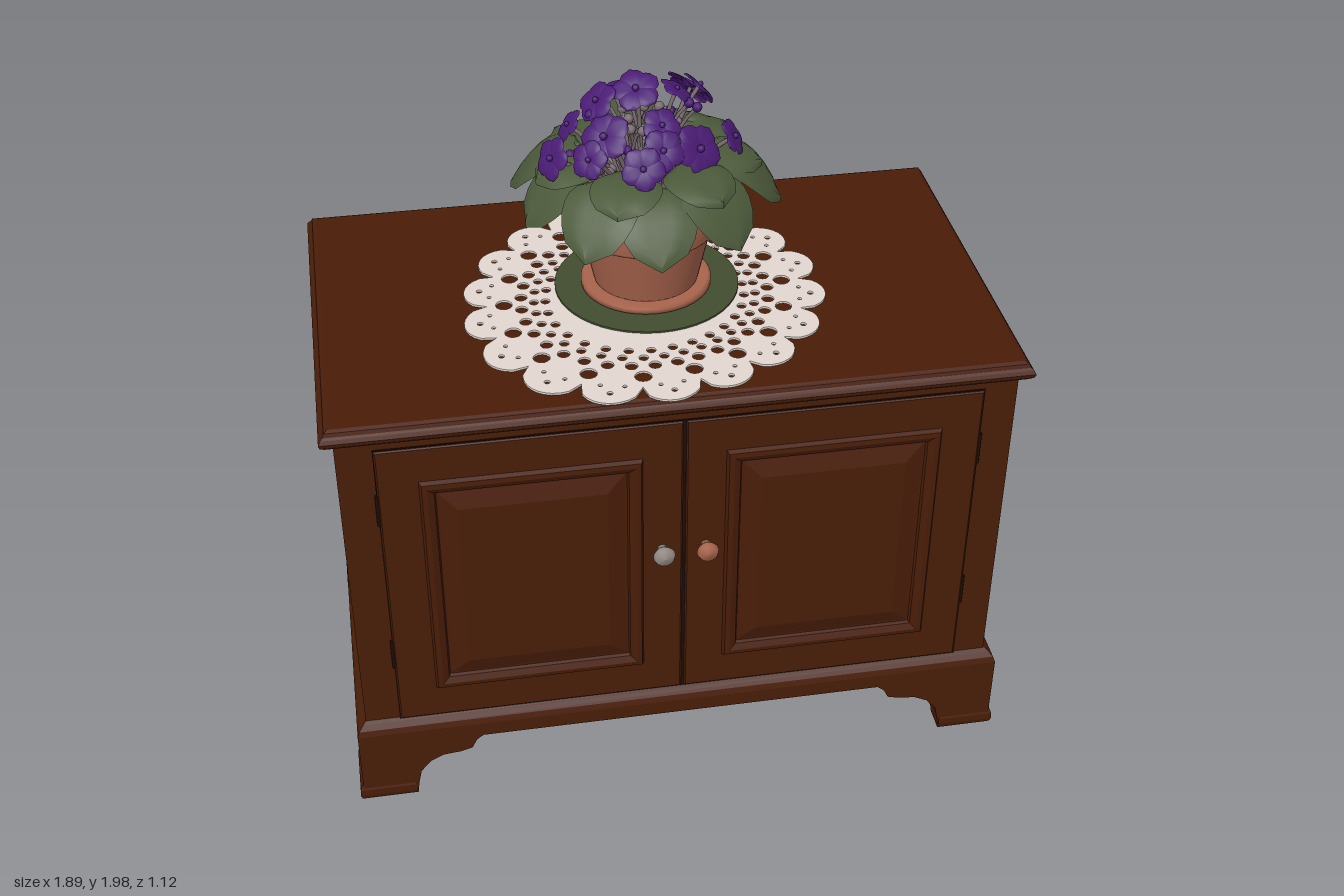
import * as THREE from 'three';

const mat = (name, color, side = THREE.FrontSide) => {
  const m = new THREE.MeshStandardMaterial({ color, side });
  m.name = name;
  return m;
};
const wood = mat('brown wood', 0x491d08);
const dark = mat('dark gap', 0x1e0c05);
const clay = mat('terracotta', 0xa8634c, THREE.DoubleSide);
const green = mat('leaf green', 0x4c5a3b, THREE.DoubleSide);
const purple = mat('petal purple', 0x4a1b74, THREE.DoubleSide);
const lace = mat('cream lace', 0xe2d7d0);
const stemMat = mat('mauve stem', 0x7a6c72);
const silver = mat('grey knob', 0x958a84);
const matGreen = mat('mat green', 0x414d2f);

const UP = new THREE.Vector3(0, 1, 0);
const V = (x, y, z) => new THREE.Vector3(x, y, z);

function add(parent, name, geometry, material, x = 0, y = 0, z = 0) {
  const m = new THREE.Mesh(geometry, material);
  m.name = name;
  m.position.set(x, y, z);
  parent.add(m);
  return m;
}

// Stacked rectangles: each level is [height, inset from the w x d outline]
function rectLoft(w, d, levels) {
  const loops = levels.map(([y, i]) => {
    const a = w / 2 - i, b = d / 2 - i;
    return [V(-a, y, b), V(a, y, b), V(a, y, -b), V(-a, y, -b)];
  });
  const pts = [];
  const quad = (a, b, c, e) => pts.push(a, b, c, a, c, e);
  for (let k = 0; k < loops.length - 1; k++) {
    const lo = loops[k], hi = loops[k + 1];
    for (let j = 0; j < 4; j++) quad(lo[j], lo[(j + 1) % 4], hi[(j + 1) % 4], hi[j]);
  }
  const [p, q] = [loops[0], loops[loops.length - 1]];
  quad(q[0], q[1], q[2], q[3]);
  quad(p[3], p[2], p[1], p[0]);
  const g = new THREE.BufferGeometry().setFromPoints(pts);
  g.computeVertexNormals();
  return g;
}

// Plinth board with a bracket foot cut at each end; reach = end to start of the flat arch
function bracketBoard(width, reach) {
  const w = width / 2, k = reach / 0.36;
  const cut = [[0.155, 0], [0.16, 0.04], [0.17, 0.085], [0.2, 0.12], [0.24, 0.14], [0.29, 0.145],
    [0.325, 0.155], [0.34, 0.185], [0.36, 0.2]].map(([x, y]) => [x < 0.165 ? x : x * k + 0.16 * (1 - k), y]);
  const s = new THREE.Shape();
  s.moveTo(-w, 0);
  cut.forEach(([x, y]) => s.lineTo(-w + x, y));
  [...cut].reverse().forEach(([x, y]) => s.lineTo(w - x, y));
  s.lineTo(w, 0).lineTo(w, 0.245).lineTo(-w, 0.245);
  return new THREE.ExtrudeGeometry(s, { depth: 0.07, bevelEnabled: false });
}

// Oval blade running along +z, arched downward and cupped
function blade(length, width, lift, droop, cup) {
  const g = new THREE.PlaneGeometry(1, 1, 6, 8);
  const p = g.attributes.position;
  for (let i = 0; i < p.count; i++) {
    const v = p.getX(i) * 2, u = p.getY(i) + 0.5;
    const half = width / 2 * Math.sqrt(Math.max(0, 1 - (2 * u - 1) ** 2));
    p.setXYZ(i, v * half, length * (lift * u - droop * u * u) + cup * (Math.abs(v) - v * v * 1.6), length * u);
  }
  g.computeVertexNormals();
  return g;
}

const stalk = (a, b, c, r) => new THREE.TubeGeometry(new THREE.QuadraticBezierCurve3(a, b, c), 8, r, 5);

function createCabinet() {
  const g = new THREE.Group();
  g.name = 'cabinet';
  add(g, 'carcass', new THREE.BoxGeometry(1.81, 1.06, 1.03), wood, -0.003, 0.76, -0.015);
  const top = add(g, 'tableTop', rectLoft(1.87, 1.1, [[1.27, 0.035], [1.28, 0.015], [1.292, 0.003], [1.303, 0],
    [1.313, 0.006], [1.318, 0.012], [1.328, 0.016], [1.333, 0.026]]), wood, -0.007, 0, 0.01);
  top.rotation.x = -0.005;
  add(g, 'baseMoulding', rectLoft(1.87, 1.08, [[0.21, 0.01], [0.245, 0], [0.262, 0.006], [0.275, 0.018], [0.285, 0.03]]),
    wood, 0, 0, -0.0125);

  // Bracket plinth on all four sides
  for (const s of [-1, 1]) {
    const frontBoard = add(g, 'plinthBoard', bracketBoard(1.87, 0.35), wood, 0, 0, -0.0125 + s * 0.47);
    const sideBoard = add(g, 'plinthSide', bracketBoard(1.08, 0.29), wood, s * 0.865, 0, -0.0125);
    frontBoard.rotation.y = s > 0 ? 0 : Math.PI;
    sideBoard.rotation.y = s * Math.PI / 2;
    for (const t of [-1, 1]) {
      add(g, 'footToe', rectLoft(0.165, 0.165, [[0, 0.004], [0.015, 0], [0.035, 0.001], [0.06, 0.012]]),
        wood, s * 0.863, 0, -0.0125 + t * 0.461);
    }
  }

  // Doors with a moulded frame and a raised centre panel
  add(g, 'doorGap', new THREE.BoxGeometry(1.624, 0.956, 0.006), dark, 0, 0.758, 0.5);
  for (const s of [-1, 1]) {
    const door = add(g, 'door', rectLoft(0.805, 0.95, [[0, 0], [0.01, 0], [0.013, 0.004], [0.013, 0.108], [0.025, 0.114],
      [0.027, 0.128], [0.018, 0.146], [0.009, 0.15], [0.009, 0.155], [0.025, 0.205]]), wood, s * 0.407, 0.758, 0.495);
    door.rotation.x = Math.PI / 2;
    const knob = add(g, 'knob', new THREE.LatheGeometry([[0, 0], [0.014, 0], [0.011, 0.02], [0.026, 0.026], [0.031, 0.036],
      [0.025, 0.048], [0, 0.054]].map(([x, y]) => new THREE.Vector2(x, y)), 16), s < 0 ? silver : clay, s * 0.06, 0.81, 0.506);
    knob.rotation.x = Math.PI / 2;
    for (const y of [0.53, 1.04]) {
      add(g, 'hinge', new THREE.CylinderGeometry(0.005, 0.005, 0.1, 8), dark, s * 0.812, y, 0.503);
    }
  }
  return g;
}

function createDoily() {
  const g = new THREE.Group();
  g.name = 'doily';
  // The cloth is pulled out slightly toward its front right corner
  const at = (a, r) => {
    const k = r * (1 + 0.09 * Math.max(0, Math.cos(a + 2.3)) ** 4);
    return new THREE.Vector2(k * Math.cos(a), k * Math.sin(a));
  };
  const n = 18, ring = [];
  for (let i = 0; i < n * 10; i++) {
    const a = i / (n * 10) * Math.PI * 2;
    ring.push(at(a, 0.43 + 0.067 * Math.sqrt(Math.abs(Math.sin(a * n / 2)))));
  }
  const shape = new THREE.Shape(ring);
  // Rings of lace holes: [count, ring radius, hole radius, phase in steps]
  for (const [count, r, h, phase] of [[n, 0.384, 0.023, 0], [n, 0.455, 0.008, 0.5], [n, 0.425, 0.006, 0.3], [n, 0.425, 0.006, 0.7],
    [36, 0.338, 0.017, 0.5], [36, 0.303, 0.013, 0], [30, 0.272, 0.013, 0]]) {
    for (let i = 0; i < count; i++) {
      const a = (i + phase) / count * Math.PI * 2, c = at(a, r);
      shape.holes.push(new THREE.Path().absarc(c.x, c.y, h, 0, Math.PI * 2, true));
    }
  }
  const sheet = new THREE.ExtrudeGeometry(shape, { depth: 0.006, bevelEnabled: false, curveSegments: 7 });
  const cloth = add(g, 'laceSheet', sheet.rotateX(-Math.PI / 2), lace, -0.03, 1.335, 0.045);
  cloth.rotation.x = -0.005;
  add(g, 'roundMat', new THREE.CylinderGeometry(0.255, 0.255, 0.008, 48), matGreen, -0.018, 1.343, -0.005);
  return g;
}

function createPlant() {
  const g = new THREE.Group();
  g.name = 'pottedPlant';
  g.position.set(-0.02, 0, -0.004);
  const lathe = (pts) => new THREE.LatheGeometry(pts.map(([x, y]) => new THREE.Vector2(x, y)), 40);
  add(g, 'saucer', lathe([[0, 1.346], [0.165, 1.346], [0.18, 1.354], [0.18, 1.368], [0.172, 1.374], [0.15, 1.37], [0, 1.37]]), clay);
  add(g, 'pot', lathe([[0, 1.37], [0.143, 1.37], [0.145, 1.376], [0.18, 1.535]]), clay);
  add(g, 'potRim', lathe([[0.178, 1.535], [0.193, 1.537], [0.198, 1.545], [0.203, 1.595], [0.198, 1.607], [0.186, 1.607],
    [0.18, 1.57]]), clay);
  add(g, 'soil', new THREE.CylinderGeometry(0.182, 0.18, 0.01, 32), matGreen, 0, 1.585, 0);

  // Leaf rosette in two tiers: [count, base radius, base height, length, width, lift, droop, phase]
  for (const [count, r, y, len, width, lift, droop, phase] of [[10, 0.17, 1.75, 0.185, 0.21, 0.25, 1.0, 0],
    [7, 0.125, 1.755, 0.185, 0.19, 0.35, 0.5, 0.5]]) {
    for (let i = 0; i < count; i++) {
      const vary = Math.sin(i * 2.4 + count);
      const leaf = new THREE.Group();
      leaf.name = 'leaf';
      const angle = (i + phase + 0.12 * vary) / count * Math.PI * 2;
      leaf.rotation.y = angle;
      const ly = y + 0.016 * vary;
      // Leaves at the back hang less than those at the front
      const hang = droop * (0.9 + 0.12 * Math.cos(angle));
      add(leaf, 'leafBlade', blade(len * (1 + 0.06 * vary), width, lift, hang, 0.022), green, 0, ly, r);
      add(leaf, 'leafStalk', stalk(V(0, 1.58, 0.06), V(0, ly - 0.02, r * 0.6), V(0, ly, r + 0.02), 0.008), stemMat);
      g.add(leaf);
    }
  }

  // Flower heads on thin stalks, each facing up and outward: [x, y, z, size]
  const petal = blade(0.06, 0.058, 0.3, 0.35, 0.006);
  const heads = [[-0.05, 1.85, -0.15, 1.3], [0.15, 1.85, -0.16, 1.25], [-0.26, 1.8, 0.08, 1], [-0.12, 1.85, 0.08, 1.2],
    [0.12, 1.82, 0.13, 1.2], [-0.04, 1.82, 0.21, 1], [0.23, 1.8, 0.04, 0.9], [-0.03, 1.955, 0.03, 1.1], [0.09, 1.91, -0.04, 0.8],
    [-0.13, 1.92, 0.01, 1], [0.02, 1.84, 0.16, 1], [0.16, 1.89, -0.09, 0.9], [-0.08, 1.92, -0.05, 0.7],
    [-0.2, 1.83, -0.04, 0.8], [0.03, 1.87, 0.08, 0.9], [-0.17, 1.82, 0.14, 0.9]];
  heads.forEach(([x, y, z, size], k) => {
    const dir = V(x * 3, 0.45, z * 3 + 0.15).normalize();
    const head = new THREE.Group();
    head.name = 'flower';
    head.position.set(x, y, z);
    head.scale.setScalar(size);
    head.quaternion.setFromUnitVectors(UP, dir);
    for (let i = 0; i < 5; i++) add(head, 'petal', petal, purple).rotation.y = k + i / 5 * Math.PI * 2;
    add(head, 'flowerCentre', new THREE.SphereGeometry(0.009, 8, 6), purple, 0, 0.006, 0);
    g.add(head);
    add(g, 'flowerStalk', stalk(V(x * 0.3, 1.58, z * 0.3), V(x * 0.45, y - 0.08, z * 0.45), V(x, y, z), 0.006), stemMat);

    // Side buds beside each flower, on their own thin stalks
    for (const t of [0, 1, 2]) {
      const a = k * 2.4 + t * 2.3, f = 0.8 - 0.25 * t;
      const b = V(x * f + 0.05 * Math.cos(a), y - 0.03 - 0.025 * t, z * f + 0.05 * Math.sin(a));
      add(g, 'budStalk', stalk(V(x * 0.2, 1.58, z * 0.2), V(x * 0.4, y - 0.1, z * 0.4), b, 0.005), stemMat);
      add(g, 'bud', new THREE.SphereGeometry(0.014, 8, 6), t ? stemMat : purple, b.x, b.y, b.z);
    }
  });
  return g;
}

export function createModel() {
  const model = new THREE.Group();
  model.name = 'cabinetWithPlant';
  model.add(createCabinet(), createDoily(), createPlant());
  return model;
}
